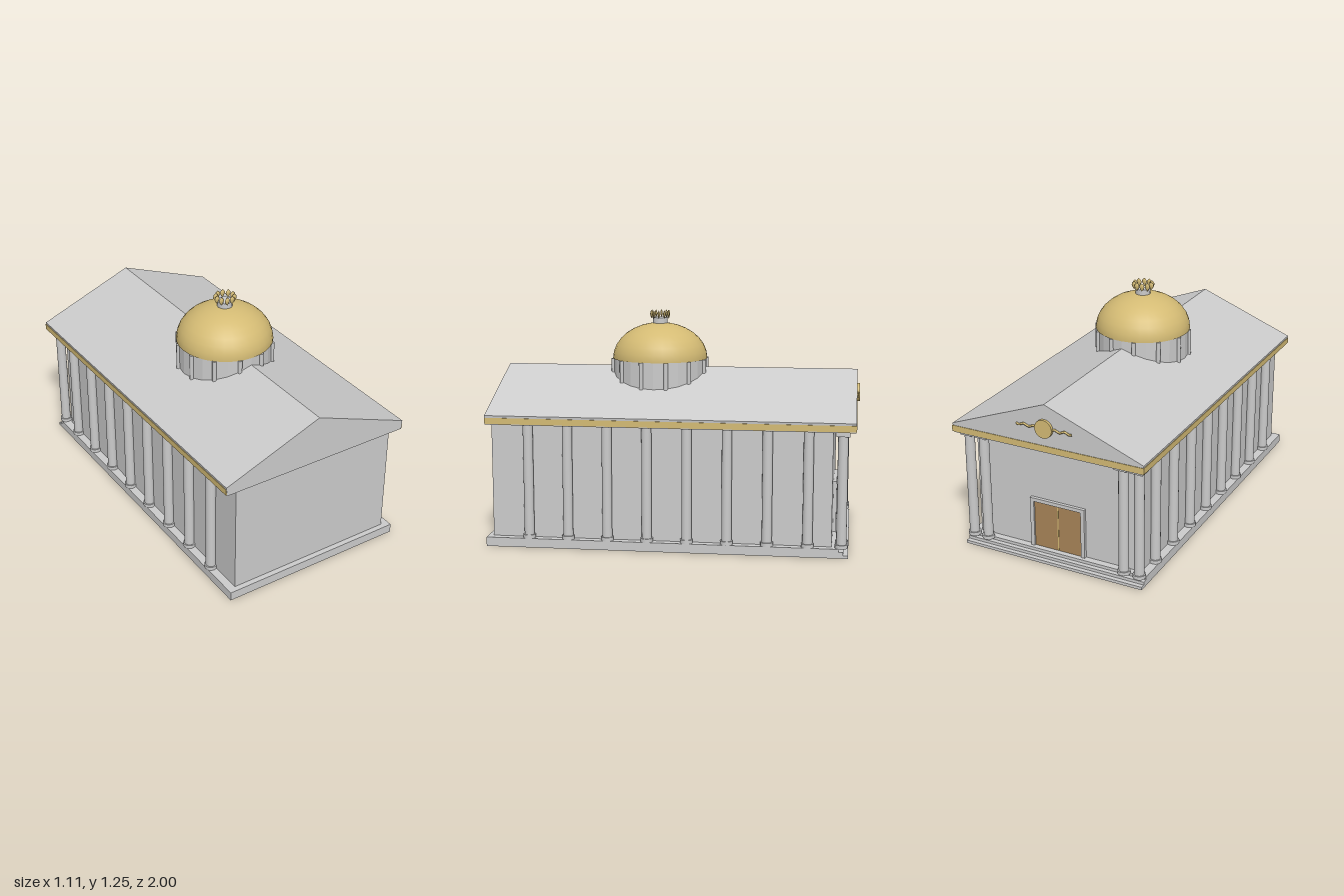
import * as THREE from 'three';

const material = (color, extra = {}) => new THREE.MeshStandardMaterial({ color, ...extra });
const stone = material(0xcccccc);
const stoneFlat = material(0xcccccc, { flatShading: true });
const gold = material(0xd4bb74);
const wood = material(0xa88558);

export function createModel() {
  const model = new THREE.Group();

  const add = (name, geometry, mat, x, y, z, parent = model) => {
    const mesh = new THREE.Mesh(geometry, mat);
    mesh.name = name;
    mesh.position.set(x, y, z);
    parent.add(mesh);
    return mesh;
  };
  // Box given by its limits on each axis
  const block = (name, [x0, x1], [y0, y1], [z0, z1], mat = stone, parent = model) =>
    add(name, new THREE.BoxGeometry(x1 - x0, y1 - y0, z1 - z0), mat,
      (x0 + x1) / 2, (y0 + y1) / 2, (z0 + z1) / 2, parent);

  // Plinth, built as three slabs that step down at the entrance
  [-0.955, -0.93, -0.905].forEach((z, i) =>
    block('plinthStep', [-0.53, 0.53], [i * 0.05 / 3, (i + 1) * 0.05 / 3], [z, 1]));

  // Main hall
  block('hall', [-0.485, 0.485], [0.05, 0.68], [-0.867, 0.97]);

  // Columns
  const shaftGeo = new THREE.CylinderGeometry(0.027, 0.027, 0.63, 16);
  const footGeo = new THREE.CylinderGeometry(0.034, 0.034, 0.02, 16);
  const capGeo = new THREE.BoxGeometry(0.072, 0.025, 0.072);
  const column = (name, x, z, capital) => {
    const group = new THREE.Group();
    group.name = name;
    group.position.set(x, 0, z);
    add('shaft', shaftGeo, stone, 0, 0.362, 0, group);
    add('foot', footGeo, stone, 0, 0.06, 0, group);
    if (capital) add('capital', capGeo, stone, 0, 0.663, 0, group);
    model.add(group);
  };
  for (const side of [-1, 1]) {
    for (let i = 0; i < 8; i++) column('sideColumn', side * 0.503, 0.765 - i * 0.215, false);
    for (const x of [0.41, 0.498]) column('porticoColumn', side * x, -0.918, true);
  }

  // Entrance: frame, two leaves and a centre strip
  const door = new THREE.Group();
  door.name = 'entrance';
  model.add(door);
  for (const s of [-1, 1]) {
    const post = [s * 0.14, s * 0.162].sort((a, b) => a - b);
    const leaf = [s * 0.003, s * 0.14].sort((a, b) => a - b);
    block('doorPost', post, [0.05, 0.315], [-0.885, -0.86], stone, door);
    block('doorLeaf', leaf, [0.05, 0.315], [-0.875, -0.86], wood, door);
  }
  block('doorLintel', [-0.162, 0.162], [0.315, 0.335], [-0.885, -0.86], stone, door);
  block('doorStrip', [-0.003, 0.003], [0.05, 0.315], [-0.877, -0.86], gold, door);

  // Cornice and gabled roof in one extruded section
  const section = new THREE.Shape([[-0.55, 0.675], [0.55, 0.675], [0.555, 0.725], [0, 0.94], [-0.555, 0.725]]
    .map(([x, y]) => new THREE.Vector2(x, y)));
  add('roof', new THREE.ExtrudeGeometry(section, { depth: 1.975, bevelEnabled: false }), stone, 0, 0, -0.985);

  // Gilded band along the eaves and the entrance side
  for (const s of [-1, 1])
    block('eavesBand', [s * 0.553 - 0.004, s * 0.553 + 0.004], [0.68, 0.713], [-0.988, 0.988], gold);
  block('entranceBand', [-0.557, 0.557], [0.68, 0.713], [-0.988, -0.983], gold);

  // Pediment medallion with wavy sprays
  const medallion = add('medallion', new THREE.CylinderGeometry(0.05, 0.05, 0.016, 24), gold, 0, 0.81, -0.992);
  medallion.rotation.x = Math.PI / 2;
  for (const s of [-1, 1]) {
    const points = Array.from({ length: 9 }, (_, i) =>
      new THREE.Vector3(s * (0.045 + i * 0.0146), 0.81 + 0.005 * Math.sin(i * Math.PI / 2), -0.989));
    add('spray', new THREE.TubeGeometry(new THREE.CatmullRomCurve3(points), 32, 0.006, 6), gold, 0, 0, 0);
  }

  // Dome group, centred on the drum axis
  const rotunda = new THREE.Group();
  rotunda.name = 'rotunda';
  rotunda.position.z = 0.12;
  model.add(rotunda);
  add('drum', new THREE.CylinderGeometry(0.262, 0.262, 0.195, 24), stoneFlat, 0, 0.8875, 0, rotunda);
  const pilasterGeo = new THREE.CylinderGeometry(0.012, 0.012, 0.195, 8);
  for (let i = 0; i < 12; i++) {
    const a = (i + 0.5) * Math.PI / 6;
    add('drumPilaster', pilasterGeo, stone, 0.264 * Math.sin(a), 0.8875, 0.264 * Math.cos(a), rotunda);
  }
  const dome = add('dome', new THREE.SphereGeometry(0.266, 32, 8, 0, Math.PI * 2, 0, Math.PI / 2),
    gold, 0, 0.985, 0, rotunda);
  dome.scale.y = 0.2 / 0.266;

  // Lantern with a ring of gilded buds
  add('lantern', new THREE.CylinderGeometry(0.042, 0.042, 0.04, 12), stone, 0, 1.193, 0, rotunda);
  const budGeo = new THREE.LatheGeometry(
    [[0, -0.024], [0.007, -0.016], [0.016, 0], [0.013, 0.012], [0, 0.024]].map(([x, y]) => new THREE.Vector2(x, y)), 8);
  for (let i = 0; i < 10; i++) {
    const a = i * Math.PI / 5;
    const bud = add('bud', budGeo, gold, 0.05 * Math.cos(a), 1.231, 0.05 * Math.sin(a), rotunda);
    bud.scale.z = 0.45;
  }

  return model;
}
